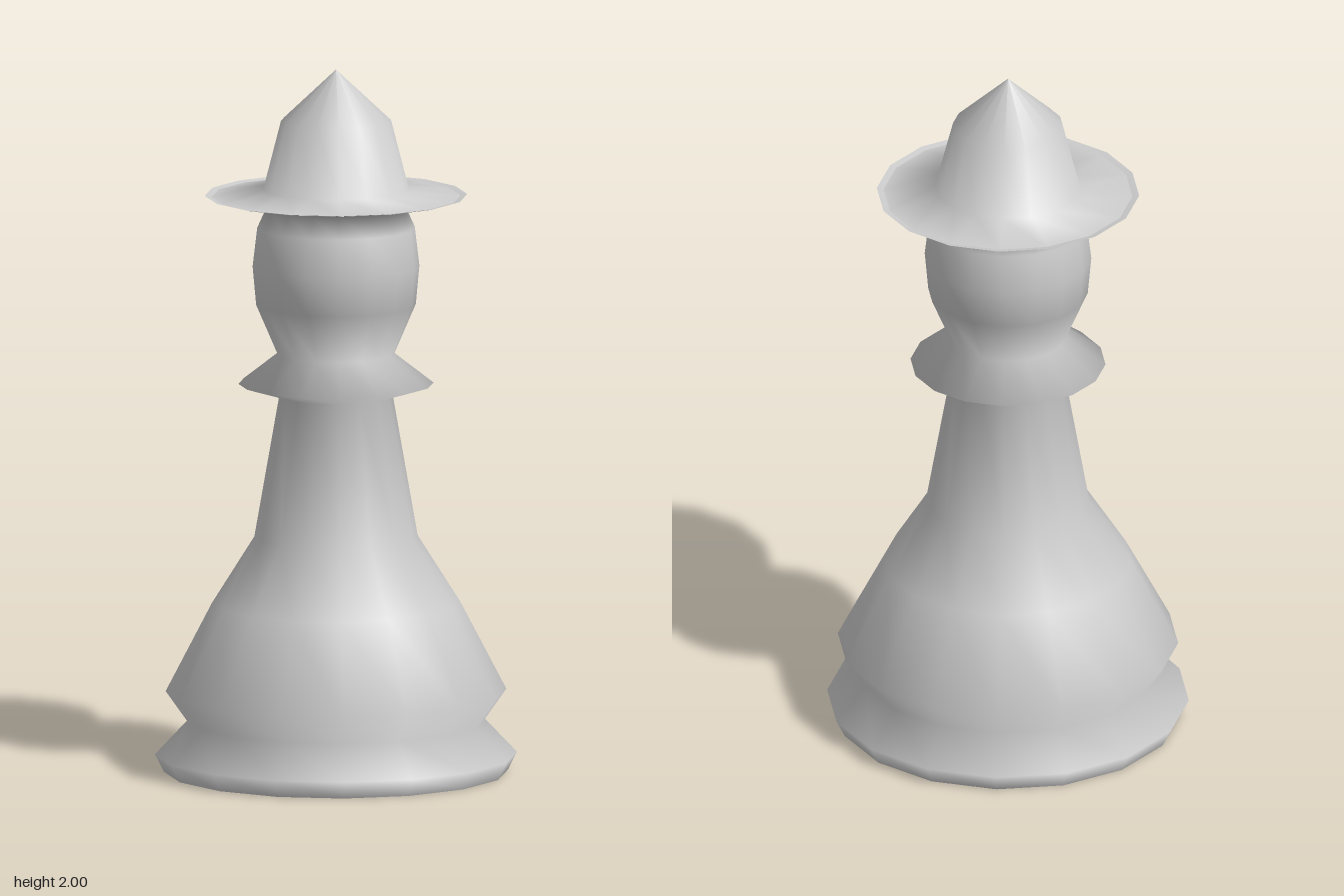
import * as THREE from 'three';

const SIDES = 16;

// Turned outline from the open foot to the tip: [radius, height]
const OUTLINE = [
  [0.485, 0], [0.51, 0.05], [0.42, 0.145],                  // foot
  [0.48, 0.23], [0.35, 0.48], [0.23, 0.67], [0.16, 1.07],   // body
  [0.275, 1.105], [0.165, 1.19],                            // collar
  [0.225, 1.33], [0.235, 1.44], [0.222, 1.55], [0.195, 1.61], // head
  [0.37, 1.642], [0.355, 1.638], [0.205, 1.66],             // brim
  [0.155, 1.855], [0, 2],                                   // crown
].map(([r, y]) => new THREE.Vector2(r, y));

// Part names with their first and last outline points
const PARTS = [
  ['foot', 0, 2],
  ['body', 2, 6],
  ['collar', 6, 8],
  ['head', 8, 12],
  ['hatBrim', 12, 15],
  ['hatCrown', 15, 17],
];

export function createModel() {
  const group = new THREE.Group();
  group.name = 'pawn';
  const material = new THREE.MeshStandardMaterial({ color: 0xcccccc, side: THREE.DoubleSide });
  const whole = new THREE.LatheGeometry(OUTLINE, SIDES).attributes.normal;

  for (const [name, first, last] of PARTS) {
    const count = last - first + 1;
    const geometry = new THREE.LatheGeometry(OUTLINE.slice(first, last + 1), SIDES);
    // Take normals from the whole outline so shading flows across the joints
    const normal = geometry.attributes.normal;
    for (let s = 0; s <= SIDES; s++) {
      for (let j = 0; j < count; j++) {
        const k = s * OUTLINE.length + first + j;
        normal.setXYZ(s * count + j, whole.getX(k), whole.getY(k), whole.getZ(k));
      }
    }
    const mesh = new THREE.Mesh(geometry, material);
    mesh.name = name;
    group.add(mesh);
  }
  return group;
}
